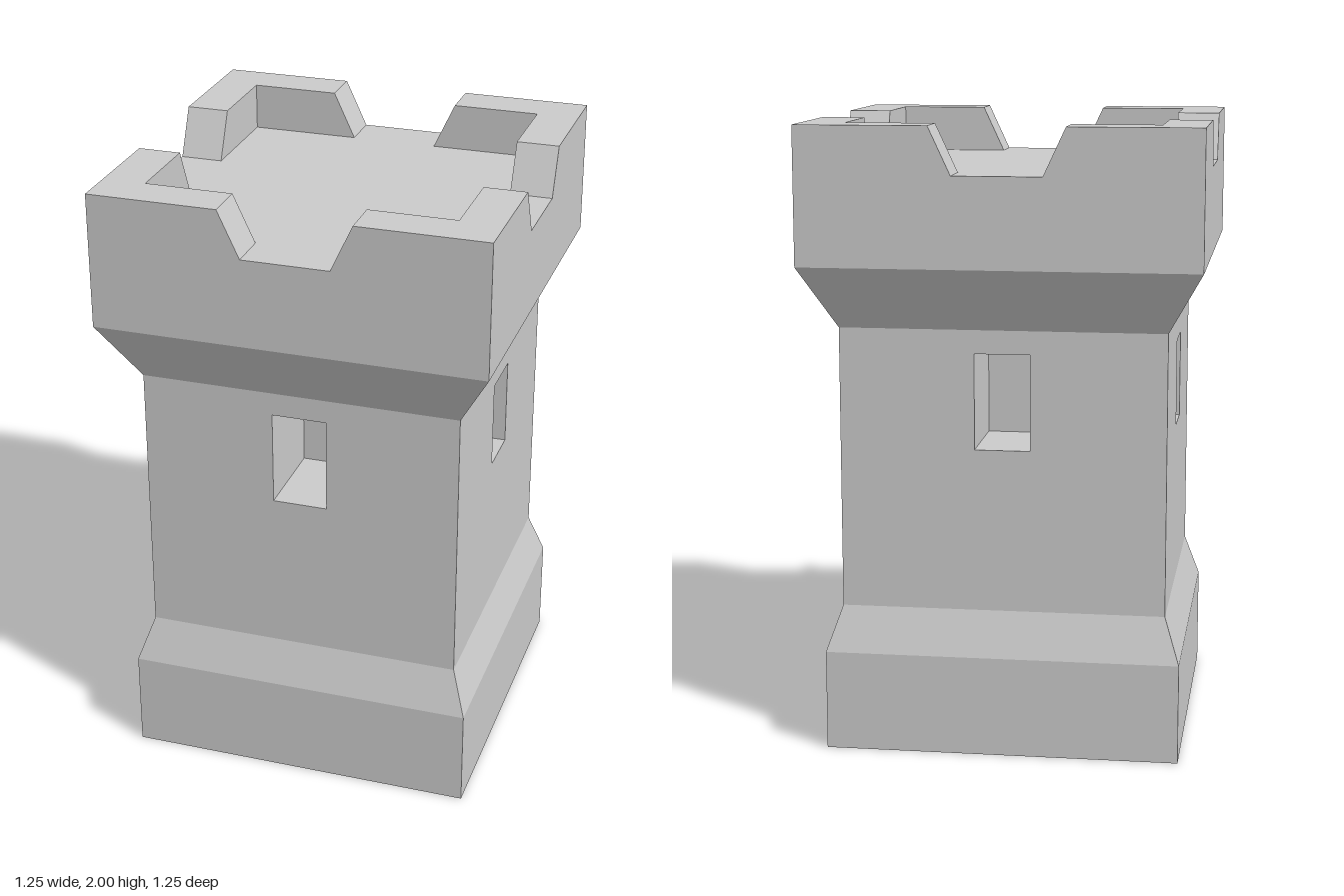
import * as THREE from 'three';

const stone = new THREE.MeshStandardMaterial({ color: 0xcccccc, flatShading: true });

const OUT = 0.627;    // half width of the battlements
const SHAFT = 0.516;  // half width of the shaft
const BASE = 0.565;   // half width of the plinth
const FLOOR = 1.85;   // roof platform height

function add(parent, name, geometry) {
  const mesh = new THREE.Mesh(geometry, stone);
  mesh.name = name;
  parent.add(mesh);
  return mesh;
}

// Open square ring between two half widths
function band(bottom, top, y0, y1) {
  const g = new THREE.CylinderGeometry(top * Math.SQRT2, bottom * Math.SQRT2, y1 - y0, 4, 1, true);
  return g.rotateY(Math.PI / 4).translate(0, (y0 + y1) / 2, 0);
}

function rectangle(Type, x, y0, y1) {
  const r = new Type();
  r.moveTo(-x, y0).lineTo(x, y0).lineTo(x, y1).lineTo(-x, y1).closePath();
  return r;
}

// Inward-facing box with its +z side left open
function recess(w, h, d) {
  const g = new THREE.BoxGeometry(w, h, d);
  const index = Array.from(g.index.array);
  index.splice(24, 6);
  g.setIndex(index.reverse());
  const flat = g.toNonIndexed();
  flat.computeVertexNormals();
  return flat;
}

// L-shaped corner merlon whose ends lean back towards the top
function merlonGeometry() {
  const inner = 0.49, low = 0.14, high = 0.21;
  const points = [[low, inner], [inner, inner], [inner, low], [OUT, low], [OUT, OUT], [low, OUT]];
  const shape = new THREE.Shape(points.map(([x, y]) => new THREE.Vector2(x, y)));
  const g = new THREE.ExtrudeGeometry(shape, { depth: 2 - FLOOR, bevelEnabled: false });
  const p = g.attributes.position;
  for (let i = 0; i < p.count; i++) {
    if (p.getZ(i) < 0.01) continue;
    if (p.getX(i) < low + 0.01) p.setX(i, high);
    if (p.getY(i) < low + 0.01) p.setY(i, high);
  }
  g.rotateX(-Math.PI / 2).translate(0, FLOOR, 0);
  g.computeVertexNormals();
  return g;
}

export function createModel() {
  const tower = new THREE.Group();
  tower.name = 'tower';

  // Plinth, sloped skirt, corbel and parapet
  add(tower, 'plinth', band(BASE, BASE, 0, 0.32));
  add(tower, 'skirt', band(BASE, SHAFT, 0.32, 0.465));
  add(tower, 'corbel', band(SHAFT, OUT, 1.365, 1.565));
  add(tower, 'parapet', band(OUT, OUT, 1.565, FLOOR));

  // Underside and roof platform
  add(tower, 'underside', new THREE.PlaneGeometry(2 * BASE, 2 * BASE).rotateX(Math.PI / 2));
  add(tower, 'roofFloor', new THREE.PlaneGeometry(2 * OUT, 2 * OUT).rotateX(-Math.PI / 2).translate(0, FLOOR, 0));

  // Shaft walls with window recesses, and a merlon for every corner
  const merlon = merlonGeometry();
  const halfWindow = 0.088, depth = 0.3;
  for (let i = 0; i < 4; i++) {
    const side = new THREE.Group();
    side.name = ['frontSide', 'leftSide', 'backSide', 'rightSide'][i];
    side.rotation.y = i * Math.PI / 2;
    tower.add(side);

    const [y0, y1] = i % 2 ? [0.997, 1.28] : [0.985, 1.29];
    const wall = rectangle(THREE.Shape, SHAFT, 0.465, 1.365);
    wall.holes.push(rectangle(THREE.Path, halfWindow, y0, y1));
    add(side, 'shaftWall', new THREE.ShapeGeometry(wall)).position.z = SHAFT;
    add(side, 'windowRecess', recess(2 * halfWindow, y1 - y0, depth))
      .position.set(0, (y0 + y1) / 2, SHAFT - depth / 2);
    add(side, 'merlon', merlon);
  }
  return tower;
}
